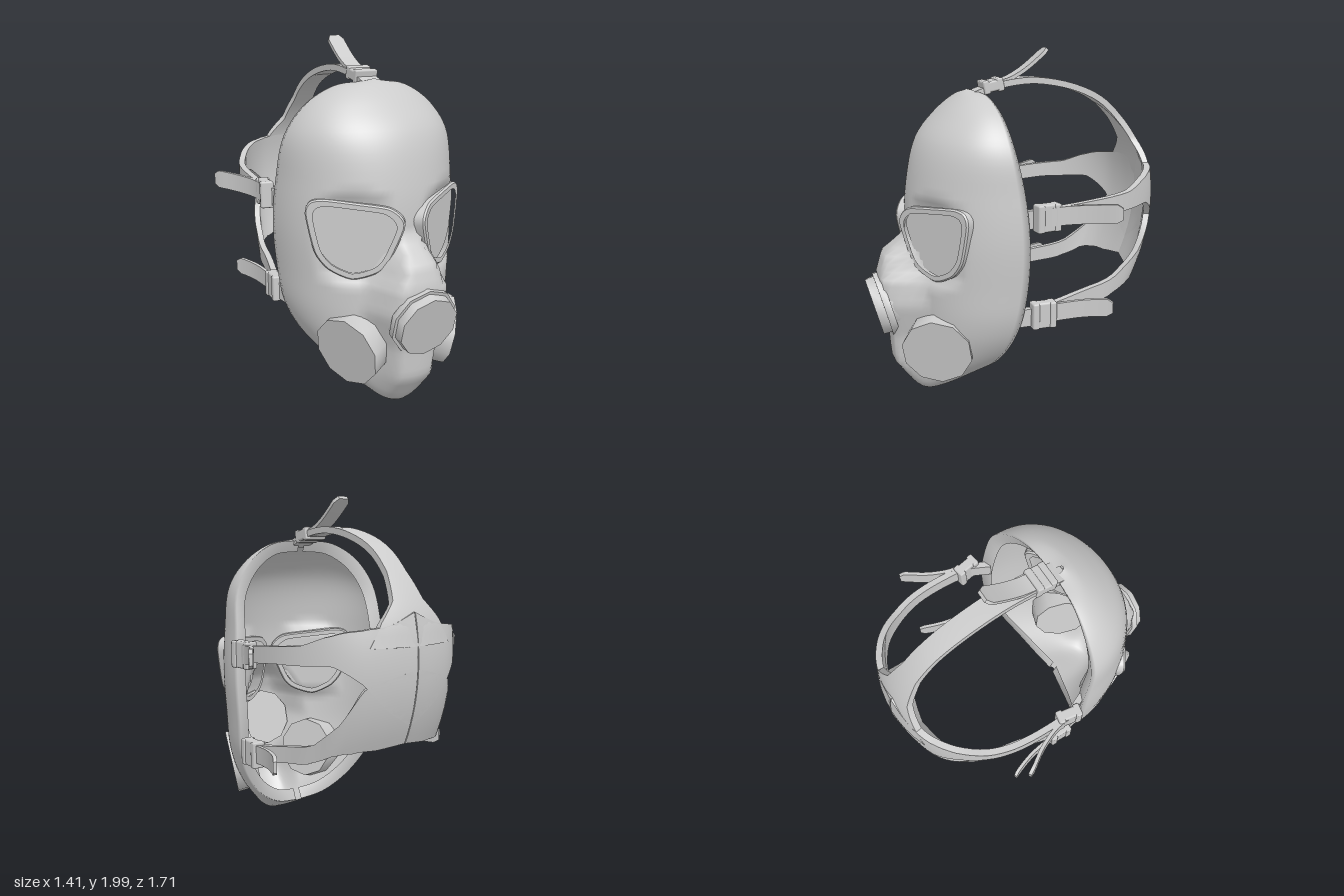
import * as THREE from 'three';
import { toCreasedNormals } from 'three/addons/utils/BufferGeometryUtils.js';
import { RoundedBoxGeometry } from 'three/addons/geometries/RoundedBoxGeometry.js';

const grey = new THREE.MeshStandardMaterial({ color: 0xcccccc });
const greyThin = new THREE.MeshStandardMaterial({ color: 0xcccccc, side: THREE.DoubleSide });
const { smoothstep, lerp, clamp } = THREE.MathUtils;

function add(parent, name, geometry, material = grey) {
  const mesh = new THREE.Mesh(geometry, material);
  mesh.name = name;
  parent.add(mesh);
  return mesh;
}

function build(positions, index) {
  const g = new THREE.BufferGeometry();
  g.setAttribute('position', new THREE.Float32BufferAttribute(positions, 3));
  g.setIndex(index);
  g.computeVertexNormals();
  return g;
}

// Linear lookup in a list of [key, value], keys falling
function lookup(list, key) {
  if (key >= list[0][0]) return list[0][1];
  for (let i = 1; i < list.length; i++) {
    const [k0, v0] = list[i - 1], [k1, v1] = list[i];
    if (key >= k1) return lerp(v1, v0, (key - k1) / (k0 - k1));
  }
  return list[list.length - 1][1];
}

// Face shell sections: half width, rim y, rim z, front y, front z
const SECTIONS = [
  [0.02, 1.765, 0.18, 1.78, 0.24], [0.21, 1.745, 0.165, 1.75, 0.3], [0.37, 1.65, 0.135, 1.66, 0.41],
  [0.48, 1.49, 0.105, 1.51, 0.53], [0.515, 1.25, 0.06, 1.25, 0.595], [0.53, 1.0, 0.04, 1.0, 0.61],
  [0.515, 0.75, 0.045, 0.75, 0.605], [0.49, 0.55, 0.075, 0.55, 0.6], [0.43, 0.4, 0.115, 0.38, 0.6],
  [0.31, 0.25, 0.17, 0.17, 0.59], [0.165, 0.16, 0.21, 0.01, 0.54], [0.02, 0.13, 0.24, 0.12, 0.26],
];
// Muzzle bulge by height: depth and outer half width
const BULGE = [[0.99, 0], [0.87, 0.14], [0.75, 0.18], [0.6, 0.18], [0.4, 0.13], [0.22, 0.12], [0.1, 0.05], [0.01, 0]];
const BULGE_WIDTH = [[0.99, 0.06], [0.87, 0.16], [0.75, 0.23], [0.6, 0.26], [0.4, 0.19], [0.1, 0.17]];
const eyePlane = (x) => 0.68 - 0.667 * Math.abs(x);

function shellGeometry() {
  const sizes = new THREE.CatmullRomCurve3(SECTIONS.map(([w, yb, zb]) => new THREE.Vector3(w, yb, zb)));
  const fronts = new THREE.CatmullRomCurve3(SECTIONS.map(([, , , yf, zf]) => new THREE.Vector3(0, yf, zf)));
  const rows = 66, cols = 60, pos = [], index = [];
  for (let i = 0; i <= rows; i++) {
    const rim = sizes.getPoint(i / rows), front = fronts.getPoint(i / rows);
    const line = [];
    for (let j = 0; j <= cols; j++) {
      const t = (j / cols - 0.5) * Math.PI;
      const k = Math.pow(Math.max(Math.cos(t), 0), 0.9);
      const x = rim.x * Math.sin(t), y = lerp(rim.y, front.y, k);
      let z = lerp(rim.z, front.z, k);
      // flats behind the eyepieces
      z = Math.min(z, eyePlane(x) - 0.02 + Math.max(0, Math.abs(y - 0.98) - 0.2) * 1.1);
      // muzzle
      const w = lookup(BULGE_WIDTH, y);
      z += lookup(BULGE, y) * (1 - smoothstep(Math.abs(x), w * 0.55, w)) * smoothstep(z, 0.42, 0.54);
      line.push([x, y, z]);
    }
    // lip turned inward along the rim
    const lip = ([x, y, z]) => [x * 0.87, lerp(y, 0.95, 0.08), z + 0.03];
    line.unshift(lip(line[0]));
    line.push(lip(line[line.length - 1]));
    pos.push(...line.flat());
  }
  const n = cols + 3;
  for (let i = 0; i < rows; i++) for (let j = 0; j < n - 1; j++) {
    const a = i * n + j, b = a + n;
    index.push(a, b, a + 1, a + 1, b, b + 1);
  }
  return build(pos, index);
}

// Flat band along points [x, y, z, half width], widened along `up`
function ribbon(points, up, half, bend = () => {}) {
  const path = new THREE.CatmullRomCurve3(points.map(([x, y, z]) => new THREE.Vector3(x, y, z)));
  const widths = points.map((p, i) => [points.length - 1 - i, p[3]]);
  const steps = (points.length - 1) * 4, m = 8, L = 2 * (m + 1), pos = [], index = [];
  for (let i = 0; i <= steps; i++) {
    const t = i / steps, c = path.getPoint(t);
    const w = lookup(widths, (1 - t) * (points.length - 1));
    const n = path.getTangent(t).cross(up).normalize();
    for (let k = 0; k < L; k++) {
      const s = k <= m ? 1 - 2 * k / m : -1 + 2 * (k - m - 1) / m;
      const v = c.clone().addScaledVector(up, s * w);
      bend(v);
      v.addScaledVector(n, k <= m ? half : -half);
      pos.push(v.x, v.y, v.z);
    }
  }
  for (let i = 0; i < steps; i++) for (let k = 0; k < L; k++) {
    const a = i * L + k, b = i * L + (k + 1) % L;
    index.push(a, b, a + L, b, b + L, a + L);
  }
  const e = steps * L;
  for (let k = 0; k < m; k++) {
    const [a, b, c, d] = [k, k + 1, L - 2 - k, L - 1 - k];
    index.push(a, c, b, a, d, c, e + a, e + b, e + c, e + a, e + c, e + d);
  }
  return toCreasedNormals(build(pos, index), 0.8);
}

// Buckle: thick plate with a raised bar at each end, facing +z
function buckle(name, w, h) {
  const g = new THREE.Group();
  g.name = name;
  add(g, 'bucklePlate', new RoundedBoxGeometry(w, h, 0.06, 1, 0.012));
  for (const s of [-1, 1]) {
    add(g, 'buckleBar', new RoundedBoxGeometry(0.04, h, 0.075, 1, 0.01)).position.x = s * (w / 2 - 0.02);
  }
  return g;
}

function eyepiece() {
  const g = new THREE.Group();
  g.name = 'eyepiece';
  const outline = [[0.053, 1.05], [0.065, 1.11], [0.12, 1.155], [0.27, 1.178], [0.41, 1.195], [0.465, 1.18],
    [0.483, 1.12], [0.445, 0.915], [0.385, 0.82], [0.28, 0.765], [0.175, 0.8], [0.12, 0.86]];
  const curve = new THREE.CatmullRomCurve3(
    outline.map(([x, y]) => new THREE.Vector3((x - 0.27) / 0.832, y - 0.98, 0)), true, 'catmullrom', 0.35);
  const pts = curve.getPoints(48).slice(0, 48);
  const scaled = (s) => pts.map((p) => new THREE.Vector2(p.x * s, p.y * s));
  const frame = new THREE.Shape(scaled(0.97));
  frame.holes.push(new THREE.Path(scaled(0.84)));
  const rim = new THREE.ExtrudeGeometry(frame, { depth: 0.07, bevelSize: 0.008, bevelThickness: 0.01, bevelSegments: 1 });
  add(g, 'eyeFrame', toCreasedNormals(rim, 0.6)).position.z = -0.065;
  add(g, 'lens', new THREE.ShapeGeometry(new THREE.Shape(scaled(0.87))), greyThin).position.z = -0.01;
  g.position.set(0.27, 0.98, eyePlane(0.27));
  g.rotation.y = Math.atan(0.667);
  return g;
}

// Short drum along +y in its own frame, with a smooth side and sharp rims
const drum = (r0, r1, h, sides) => toCreasedNormals(new THREE.CylinderGeometry(r0, r1, h, sides), 0.8);
const aim = (obj, dir) => obj.quaternion.setFromUnitVectors(new THREE.Vector3(0, 1, 0), dir.normalize());

function sideParts() {
  const g = new THREE.Group();
  const up = new THREE.Vector3(0, 1, 0);
  g.add(eyepiece());

  // filter canister on the cheek
  const filterAxis = new THREE.Vector3(0.9, -0.19, 0.4).normalize();
  const filter = add(g, 'filterCanister', drum(0.2, 0.19, 0.15, 10));
  aim(filter, filterAxis);
  filter.position.set(0.33, 0.365, 0.515).addScaledVector(filterAxis, -0.075);

  // straps widen and merge into the pad at the back of the head
  const padBend = (v) => { v.z += clamp((-v.z - 0.45) / 0.3, 0, 1) * 0.5 * (v.y - 1.15) ** 2; };
  add(g, 'upperStrap', ribbon([[0, 1.12, -0.84, 0.29], [0.15, 1.14, -0.815, 0.21], [0.28, 1.2, -0.77, 0.13],
    [0.39, 1.23, -0.68, 0.075], [0.48, 1.2, -0.54, 0.05], [0.525, 1.19, -0.4, 0.045], [0.54, 1.17, -0.2, 0.045],
    [0.53, 1.15, -0.05, 0.05], [0.48, 1.13, 0.08, 0.05]], up, 0.018, padBend));
  add(g, 'lowerStrap', ribbon([[0, 0.93, -0.84, 0.2], [0.15, 0.9, -0.815, 0.19], [0.27, 0.87, -0.775, 0.17],
    [0.34, 0.77, -0.71, 0.085], [0.38, 0.68, -0.55, 0.05], [0.42, 0.63, -0.3, 0.045], [0.455, 0.6, -0.15, 0.05],
    [0.48, 0.585, -0.04, 0.05], [0.46, 0.57, 0.11, 0.05]], up, 0.018, padBend));

  // loose strap ends
  add(g, 'upperStrapEnd', ribbon([[0.55, 1.15, 0, 0.05], [0.56, 1.16, -0.14, 0.05], [0.61, 1.17, -0.27, 0.05],
    [0.68, 1.18, -0.38, 0.05], [0.695, 1.18, -0.41, 0.03]], up, 0.01));
  add(g, 'lowerStrapEnd', ribbon([[0.5, 0.59, 0, 0.05], [0.5, 0.6, -0.14, 0.05], [0.52, 0.61, -0.28, 0.05],
    [0.56, 0.615, -0.4, 0.05], [0.575, 0.615, -0.43, 0.03]], up, 0.01));

  for (const [name, x, y, turn] of [['upperBuckle', 0.535, 1.15, 1.75], ['lowerBuckle', 0.49, 0.59, 1.6]]) {
    const b = buckle(name, 0.14, 0.15);
    b.position.set(x, y, -0.05);
    b.rotation.y = turn;
    g.add(b);
  }
  return g;
}

export function createModel() {
  const model = new THREE.Group();
  model.name = 'gasMask';
  add(model, 'faceShell', shellGeometry(), greyThin);

  // both sides
  for (const s of [1, -1]) {
    const side = sideParts();
    side.name = s > 0 ? 'leftSide' : 'rightSide';
    side.scale.x = s;
    model.add(side);
  }

  // outlet valve on the muzzle, tipped slightly down
  const valve = new THREE.Group();
  valve.name = 'outletValve';
  add(valve, 'valveCap', drum(0.172, 0.178, 0.06, 10)).position.y = -0.03;
  add(valve, 'valveCollar', drum(0.195, 0.19, 0.04, 10)).position.y = -0.07;
  add(valve, 'valveNeck', drum(0.175, 0.18, 0.08, 10)).position.y = -0.12;
  aim(valve, new THREE.Vector3(0, -0.26, 0.965));
  valve.position.set(0, 0.55, 0.81);
  model.add(valve);

  // strap over the crown, flaring into the pad, with buckle and loose end
  const across = new THREE.Vector3(1, 0, 0);
  add(model, 'crownStrap', ribbon([[0, 1.74, 0.23, 0.06], [0, 1.785, 0.1, 0.06], [0, 1.81, 0, 0.06],
    [0, 1.82, -0.16, 0.06], [0, 1.78, -0.38, 0.06], [0, 1.705, -0.55, 0.06], [0, 1.595, -0.67, 0.065],
    [0, 1.46, -0.765, 0.1], [0, 1.36, -0.81, 0.19], [0, 1.24, -0.835, 0.26]],
  across, 0.018, (v) => { v.z += 0.8 * v.x * v.x; }));
  add(model, 'crownStrapEnd', ribbon([[0, 1.81, 0.12, 0.05], [0, 1.825, 0.02, 0.05], [0, 1.875, -0.08, 0.05],
    [0, 1.97, -0.2, 0.05], [0, 1.993, -0.225, 0.03]], across, 0.01));
  const top = buckle('crownBuckle', 0.12, 0.14);
  top.rotation.set(-Math.PI / 2 + 0.2, 0, Math.PI / 2);
  top.position.set(0, 1.795, 0.1);
  model.add(top);
  return model;
}
